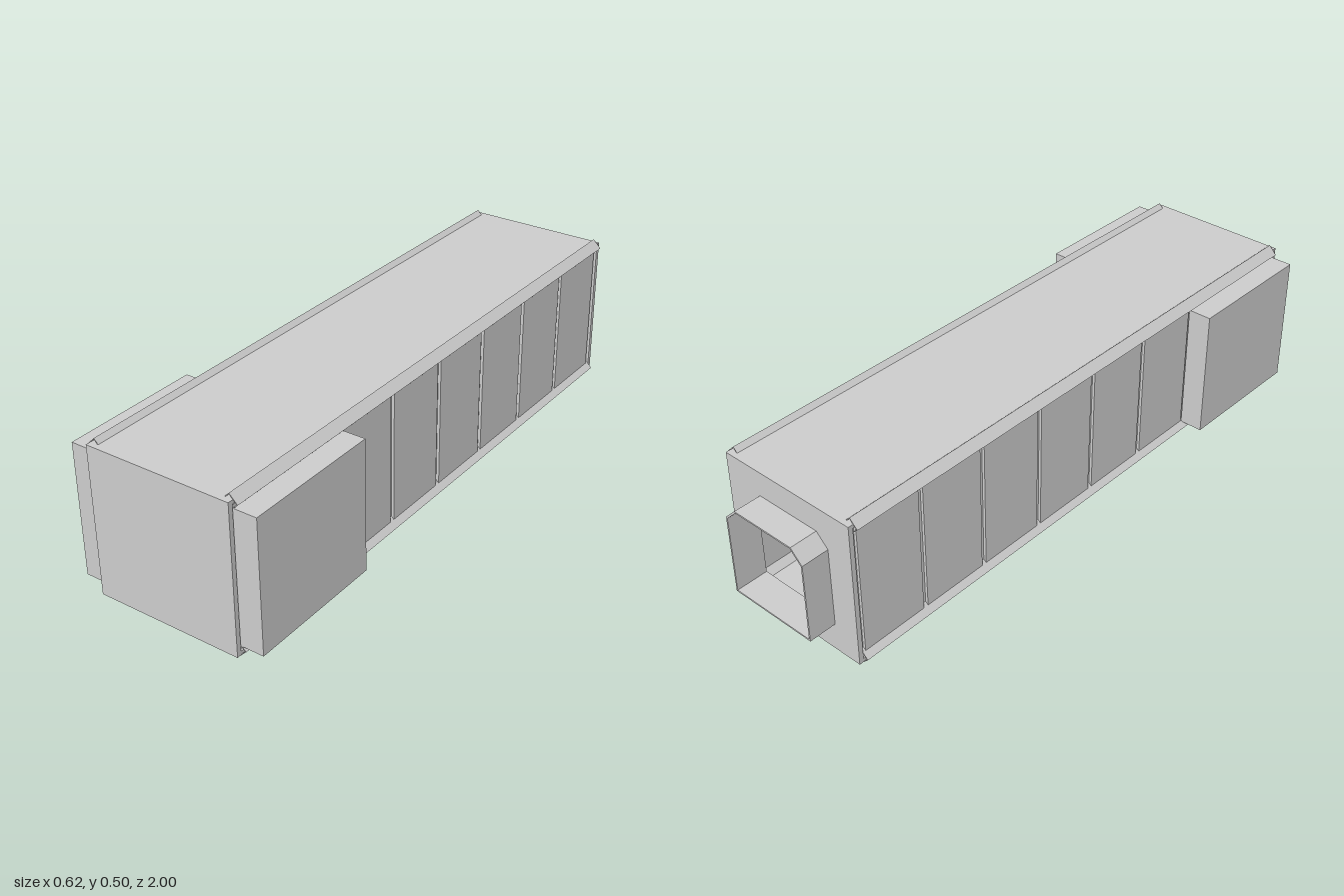
import * as THREE from 'three';

const material = new THREE.MeshStandardMaterial({ color: 0xcccccc, flatShading: true, side: THREE.DoubleSide });

// Body bounds
const HALF_W = 0.237, BOTTOM = 0.017, TOP = 0.491, BACK = -0.912, FRONT = 1;
const MID_Y = (BOTTOM + TOP) / 2, WALL = 0.012;

function add(parent, name, geometry) {
  const mesh = new THREE.Mesh(geometry, material);
  mesh.name = name;
  parent.add(mesh);
  return mesh;
}

// Box given by its minimum and maximum corners
function box(parent, name, [x0, y0, z0], [x1, y1, z1]) {
  const mesh = add(parent, name, new THREE.BoxGeometry(x1 - x0, y1 - y0, z1 - z0));
  mesh.position.set((x0 + x1) / 2, (y0 + y1) / 2, (z0 + z1) / 2);
  return mesh;
}

const polygon = (points) => points.map(([x, y]) => new THREE.Vector2(x, y));

// Square hatch outline with cut upper corners, inset by t
function hatchOutline(t) {
  const w = 0.15 - t, low = 0.11 + t, high = 0.41 - t, c = 0.04 - t * 0.4;
  return polygon([[-w, low], [w, low], [w, high - c], [w - c, high], [c - w, high], [-w, high - c]]);
}

function extrude(outline, hole, depth) {
  const shape = new THREE.Shape(outline);
  shape.holes.push(new THREE.Path(hole));
  return new THREE.ExtrudeGeometry(shape, { depth, bevelEnabled: false });
}

export function createModel() {
  const model = new THREE.Group();
  model.name = 'container';

  // Hollow body: front, floor and roof plates
  box(model, 'frontPlate', [-HALF_W, BOTTOM, FRONT - 0.015], [HALF_W, TOP, FRONT]);
  box(model, 'roof', [-HALF_W, TOP - WALL, BACK + 0.01], [HALF_W, TOP, FRONT - 0.015]);
  box(model, 'floor', [-HALF_W, BOTTOM, BACK + 0.01], [HALF_W, BOTTOM + WALL, FRONT - 0.015]);

  // Back plate with the hatch opening
  const backOutline = polygon([[-HALF_W, BOTTOM], [HALF_W, BOTTOM], [HALF_W, TOP], [-HALF_W, TOP]]);
  const backPlate = add(model, 'backPlate', extrude(backOutline, hatchOutline(0.005), 0.015));
  backPlate.position.z = BACK;

  // Thin collar around the opening
  const collar = add(model, 'hatchCollar', extrude(hatchOutline(0), hatchOutline(0.005), 1 + BACK));
  collar.position.z = -1;

  for (const side of [-1, 1]) {
    const name = side > 0 ? 'left' : 'right';
    const wall = new THREE.Group();
    wall.name = name + 'Side';
    model.add(wall);

    // Inner side sheet behind the panels
    const sheet = add(wall, name + 'InnerSheet', new THREE.BoxGeometry(0.006, TOP - BOTTOM - 2 * WALL, 1.88));
    sheet.position.set(side * 0.222, MID_Y, 0.045);

    // Row of side panels separated by narrow grooves
    for (let i = 0; i < 8; i++) {
      const start = -0.885 + i * 0.238;
      const end = Math.min(start + 0.222, FRONT - 0.015);
      const panel = add(wall, name + 'Panel', new THREE.BoxGeometry(0.009, 0.44, end - start));
      panel.position.set(side * 0.2295, MID_Y, (start + end) / 2);
    }

    // Side block near the front
    const block = add(wall, name + 'Block', new THREE.BoxGeometry(0.076, 0.422, 0.45));
    block.position.set(side * 0.271, MID_Y, 0.757);

    // Hollow diamond rails along the long edges
    for (const y of [0.03, 0.479]) {
      const diamond = (r) => polygon([[r, 0], [0, r], [-r, 0], [0, -r]]);
      const rail = add(wall, name + (y > MID_Y ? 'UpperRail' : 'LowerRail'),
        extrude(diamond(0.0265), diamond(0.023), 1.877));
      rail.position.set(side * 0.225, y, -0.895);
    }
  }

  return model;
}
